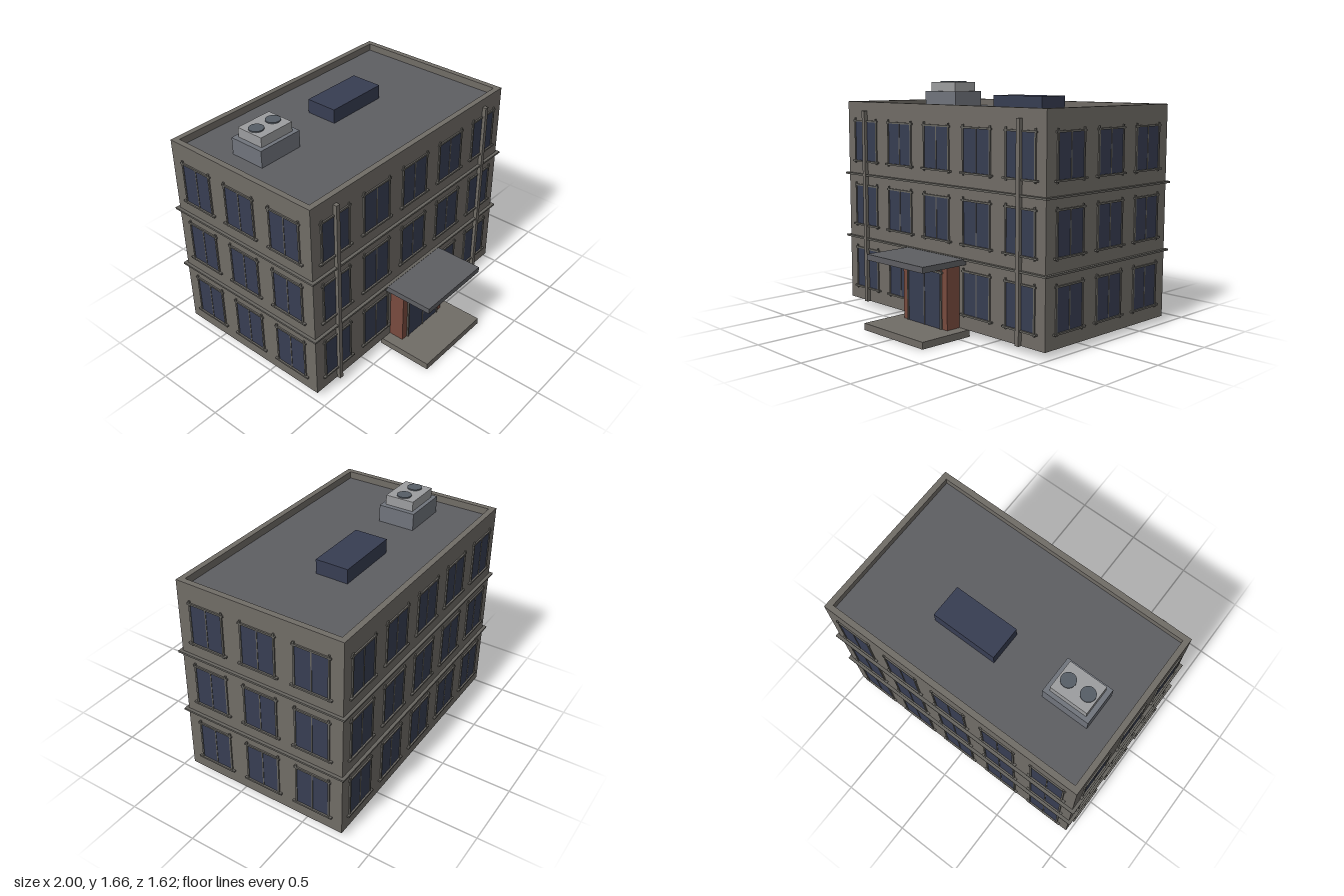
import * as THREE from 'three';

const mat = (color) => new THREE.MeshStandardMaterial({ color });
const wall = mat(0x706c66), trim = mat(0x66645f), roofGrey = mat(0x5d5e62), glass = mat(0x373d52),
  brick = mat(0x784a3e), padGrey = mat(0x70747c), metal = mat(0x9c9d9f), fanGrey = mat(0x565d66);

// Building footprint and heights
const HX = 0.978, ZF = 0.42, ZB = -0.787, ZC = (ZF + ZB) / 2, HZ = (ZF - ZB) / 2;
const BASE = 0.047, ROOF = 1.46, TOP = 1.51;
const FLOORS = [0.29, 0.758, 1.226], PITCH = 0.385;

// Box given by its min and max corners
function box(parent, name, m, [x0, y0, z0], [x1, y1, z1]) {
  const mesh = new THREE.Mesh(new THREE.BoxGeometry(x1 - x0, y1 - y0, z1 - z0), m);
  mesh.position.set((x0 + x1) / 2, (y0 + y1) / 2, (z0 + z1) / 2);
  mesh.name = name;
  parent.add(mesh);
  return mesh;
}

// Window facing +z, centred on its own origin, with overlapping frame bars
function makeWindow() {
  const g = new THREE.Group();
  g.name = 'window';
  box(g, 'windowGlass', glass, [-0.125, -0.145, -0.01], [0.125, 0.145, 0.004]);
  for (const s of [-1, 1]) {
    box(g, 'windowJamb', trim, [s * 0.122 - 0.006, -0.162, -0.005], [s * 0.122 + 0.006, 0.167, 0.009]);
  }
  box(g, 'windowMullion', trim, [-0.004, -0.145, -0.005], [0.004, 0.145, 0.007]);
  box(g, 'windowHeader', trim, [-0.138, 0.14, -0.005], [0.138, 0.152, 0.01]);
  box(g, 'windowSill', trim, [-0.148, -0.152, -0.005], [0.148, -0.14, 0.016]);
  return g;
}

// Rows of windows on one facade
function makeFacade(name, count, x, z, turn, skip = () => false) {
  const g = new THREE.Group();
  g.name = name;
  FLOORS.forEach((y, floor) => {
    for (let i = 0; i < count; i++) {
      if (skip(floor, i)) continue;
      const w = makeWindow();
      w.position.set((i - (count - 1) / 2) * PITCH, y, 0);
      g.add(w);
    }
  });
  g.position.set(x, 0, z);
  g.rotation.y = turn;
  return g;
}

// Rectangular ring lying flat, rising from y
function makeRing(name, m, hx, hz, width, y, height) {
  const rect = (P, a, b) => new P([[-a, -b], [a, -b], [a, b], [-a, b]].map((p) => new THREE.Vector2(...p)));
  const shape = rect(THREE.Shape, hx, hz);
  shape.holes.push(rect(THREE.Path, hx - width, hz - width));
  const geo = new THREE.ExtrudeGeometry(shape, { depth: height, bevelEnabled: false });
  geo.rotateX(-Math.PI / 2);
  const mesh = new THREE.Mesh(geo, m);
  mesh.position.set(0, y, ZC);
  mesh.name = name;
  return mesh;
}

export function createModel() {
  const model = new THREE.Group();
  model.name = 'officeBuilding';

  // Main block, parapet and roof
  box(model, 'mainBlock', wall, [-HX, BASE, ZB], [HX, ROOF - 0.006, ZF]);
  model.add(makeRing('parapet', wall, HX, HZ, 0.04, ROOF - 0.006, TOP - ROOF + 0.006));
  box(model, 'roofDeck', roofGrey, [-HX + 0.04, ROOF - 0.006, ZB + 0.04], [HX - 0.04, ROOF, ZF - 0.04]);

  // Bands between the storeys
  for (const y of [0.509, 0.976]) model.add(makeRing('storeyBand', trim, HX + 0.022, HZ + 0.022, 0.04, y, 0.013));

  // Windows on all four sides
  model.add(makeFacade('frontWindows', 5, 0, ZF, 0, (floor, i) => floor === 0 && i === 2));
  model.add(makeFacade('backWindows', 5, 0, ZB, Math.PI));
  model.add(makeFacade('leftWindows', 3, HX, ZC, Math.PI / 2));
  model.add(makeFacade('rightWindows', 3, -HX, ZC, -Math.PI / 2));

  // Downpipes
  for (const s of [-1, 1]) {
    box(model, 'downpipe', wall, [s * 0.768 - 0.015, BASE, ZF - 0.005], [s * 0.768 + 0.015, 1.447, 0.447]);
  }

  // Entrance
  const entrance = new THREE.Group();
  entrance.name = 'entrance';
  box(entrance, 'entranceStep', wall, [-0.303, 0, 0.405], [0.303, BASE, 0.81]);
  box(entrance, 'porch', brick, [-0.222, BASE, ZF], [0.222, 0.48, 0.53]);
  box(entrance, 'canopy', roofGrey, [-0.287, 0.48, ZF], [0.287, 0.52, 0.79]);
  box(entrance, 'doorGlass', glass, [-0.167, BASE, 0.52], [0.167, 0.43, 0.535]);
  for (const s of [-1, 1]) {
    box(entrance, 'doorJamb', trim, [s * 0.167 - 0.006, BASE, 0.525], [s * 0.167 + 0.006, 0.445, 0.542]);
  }
  box(entrance, 'doorMullion', trim, [-0.004, BASE, 0.525], [0.004, 0.43, 0.539]);
  box(entrance, 'doorHeader', trim, [-0.182, 0.42, 0.525], [0.182, 0.432, 0.543]);
  model.add(entrance);

  // Rooftop equipment
  box(model, 'skylight', glass, [-0.087, ROOF, -0.427], [0.38, 1.56, -0.195]);
  const unit = new THREE.Group();
  unit.name = 'coolingUnit';
  box(unit, 'unitPlinth', padGrey, [-0.787, ROOF, -0.42], [-0.45, 1.58, -0.16]);
  box(unit, 'unitHousing', metal, [-0.753, 1.58, -0.392], [-0.485, 1.648, -0.188]);
  for (const x of [-0.691, -0.547]) {
    const fan = new THREE.Mesh(new THREE.CylinderGeometry(0.05, 0.05, 0.012, 24), fanGrey);
    fan.position.set(x, 1.65, -0.292);
    fan.name = 'unitFan';
    unit.add(fan);
  }
  model.add(unit);
  return model;
}
